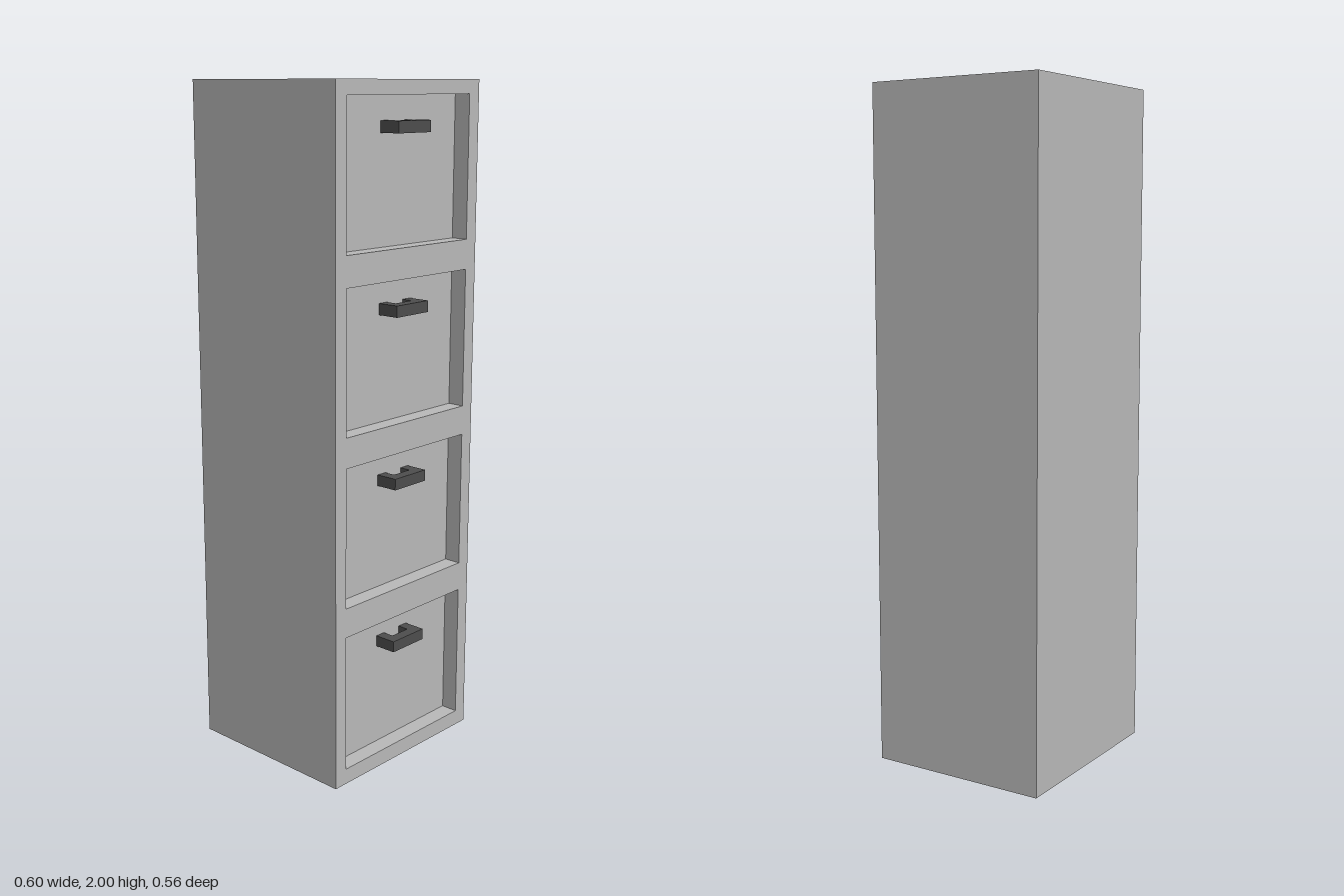
import * as THREE from 'three';

const W = 0.6, H = 2, BACK = -0.283, FRONT = 0.267, PANEL = 0.215;
const DRAWERS = 4, PITCH = 0.5;

export function createModel() {
  const grey = new THREE.MeshStandardMaterial({ color: 0xbababa });
  grey.name = 'cabinet grey';
  const dark = new THREE.MeshStandardMaterial({ color: 0x4e4e4e });
  dark.name = 'handle dark grey';

  const model = new THREE.Group();
  model.name = 'filingCabinet';

  const add = (parent, name, geometry, material, x, y, z) => {
    const mesh = new THREE.Mesh(geometry, material);
    mesh.name = name;
    mesh.position.set(x, y, z);
    parent.add(mesh);
  };

  // Solid body, whose front face forms the drawer panels
  add(model, 'cabinetBody', new THREE.BoxGeometry(W, H, PANEL - BACK), grey, 0, H / 2, (PANEL + BACK) / 2);

  // Front frame with one opening per drawer
  const rect = (C, x, y0, y1) => {
    const c = new C();
    c.moveTo(-x, y0);
    c.lineTo(x, y0);
    c.lineTo(x, y1);
    c.lineTo(-x, y1);
    c.closePath();
    return c;
  };
  const frame = rect(THREE.Shape, W / 2, 0, H);
  for (let i = 0; i < DRAWERS; i++) {
    frame.holes.push(rect(THREE.Path, 0.257, i * PITCH + 0.047, i * PITCH + 0.459));
  }
  add(model, 'frontFrame', new THREE.ExtrudeGeometry(frame, { depth: FRONT - PANEL, bevelEnabled: false }), grey, 0, 0, PANEL);

  // U-shaped pull handles, seen from above: a bar on two legs
  const reach = 0.282 - PANEL, half = 0.067, leg = 0.033, bar = 0.033;
  const outline = new THREE.Shape([
    [-half, 0], [-half, -reach], [half, -reach], [half, 0],
    [half - leg, 0], [half - leg, bar - reach], [leg - half, bar - reach], [leg - half, 0],
  ].map(([x, y]) => new THREE.Vector2(x, y)));
  const handle = new THREE.ExtrudeGeometry(outline, { depth: 0.033, bevelEnabled: false });
  handle.rotateX(-Math.PI / 2);
  for (let i = 0; i < DRAWERS; i++) {
    add(model, 'drawerHandle' + (i + 1), handle, dark, 0, i * PITCH + 0.358, PANEL);
  }
  return model;
}
